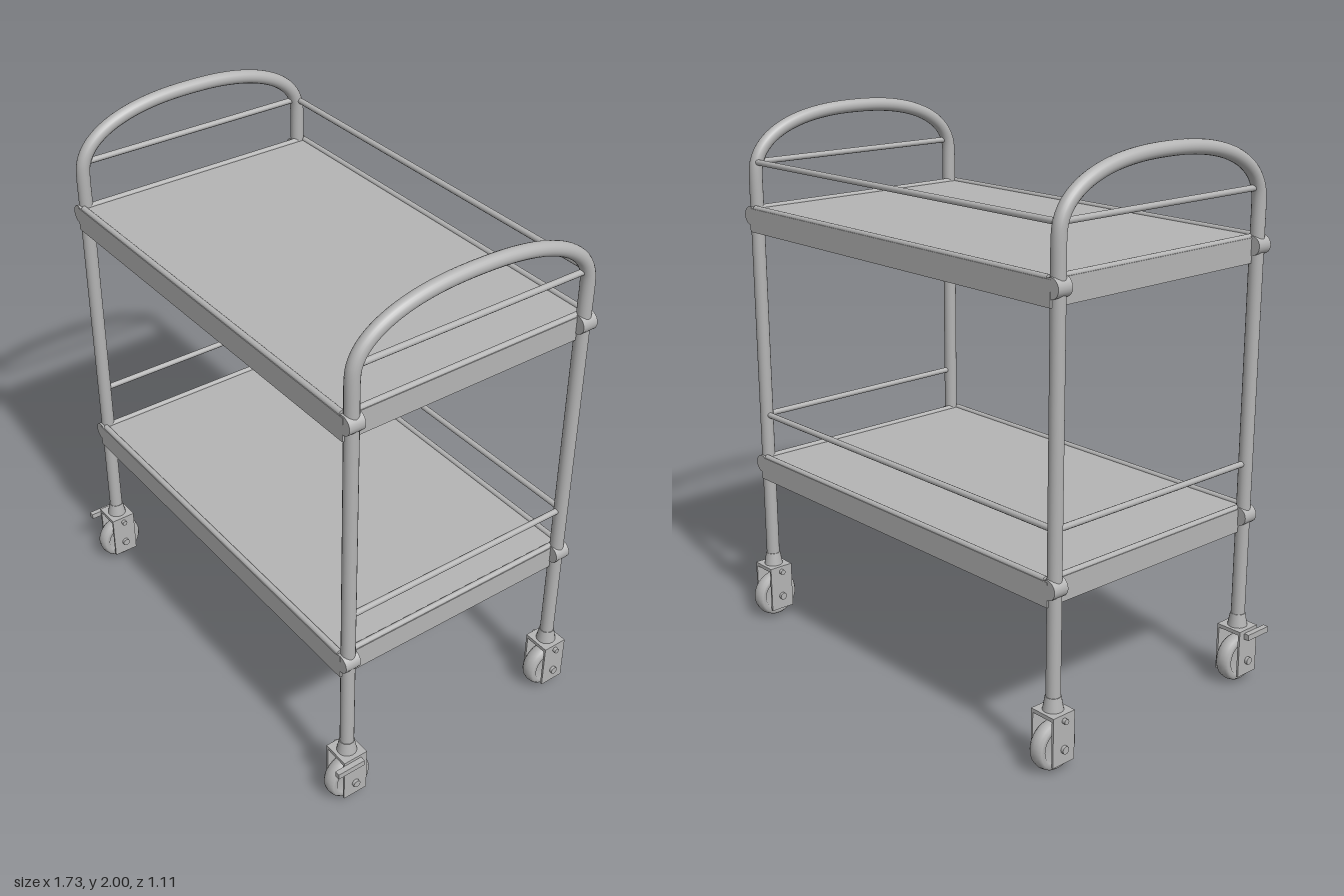
import * as THREE from 'three';

const metal = new THREE.MeshStandardMaterial({ color: 0xb4b4b4 });
metal.name = 'grey metal';

const PX = 0.795, PZ = 0.465; // leg positions

function add(parent, name, geo, x = 0, y = 0, z = 0) {
  const m = new THREE.Mesh(geo, metal);
  m.name = name;
  m.position.set(x, y, z);
  parent.add(m);
  return m;
}
const box = (p, name, w, h, d, x, y, z) => add(p, name, new THREE.BoxGeometry(w, h, d), x, y, z);

// round bar along one axis
function bar(p, name, axis, r, len, x, y, z, seg = 20) {
  const g = new THREE.CylinderGeometry(r, r, len, seg);
  if (axis === 'x') g.rotateZ(Math.PI / 2);
  if (axis === 'z') g.rotateX(Math.PI / 2);
  return add(p, name, g, x, y, z);
}

// two legs joined by a flattened arch handle, as one bent tube
function sideFrame(x) {
  const pts = [];
  for (const y of [0.24, 0.6, 1, 1.4, 1.65]) pts.push(new THREE.Vector3(0, y, PZ));
  const n = 24, e = 2 / 2.3;
  for (let i = 0; i <= n; i++) {
    const a = Math.PI * i / n, c = Math.cos(a), s = Math.max(0, Math.sin(a));
    pts.push(new THREE.Vector3(0, 1.755 + 0.22 * Math.pow(s, e), PZ * Math.sign(c) * Math.pow(Math.abs(c), e)));
  }
  for (const y of [1.65, 1.4, 1, 0.6, 0.24]) pts.push(new THREE.Vector3(0, y, -PZ));
  const path = new THREE.CatmullRomCurve3(pts, false, 'centripetal');
  const g = new THREE.Group();
  g.name = 'sideFrame';
  add(g, 'legsAndHandle', new THREE.TubeGeometry(path, 200, 0.025, 20));
  g.position.x = x;
  return g;
}

// tray with open underside, lip, corner clamps and guard rails; y is its bottom edge
function shelf(y) {
  const g = new THREE.Group();
  g.name = 'shelf';
  g.position.y = y;
  const hx = PX, hz = 0.498, t = 0.012, h = 0.087;
  box(g, 'trayPlate', 2 * hx - 0.01, 0.01, 2 * hz - 0.01, 0, 0.083, 0);
  for (const s of [-1, 1]) {
    box(g, 'longSkirt', 2 * hx, h, t, 0, h / 2, s * (hz - t / 2));
    box(g, 'endSkirt', t, h, 2 * (hz - t), s * (hx - t / 2), h / 2, 0);
    bar(g, 'longLip', 'x', 0.011, 2 * hx - 0.04, 0, 0.088, s * (hz - 0.013), 12);
    bar(g, 'endLip', 'z', 0.011, 2 * PZ, s * (hx - 0.013), 0.088, 0, 12);
    bar(g, 'endGuardRail', 'z', 0.011, 2 * PZ, s * PX, 0.255, 0, 12);
    for (const f of [-1, 1]) bar(g, 'cornerClamp', 'z', 0.034, 0.06, s * PX, 0.06, f * 0.467);
  }
  bar(g, 'backGuardRail', 'x', 0.011, 2 * PX, 0, 0.255, -PZ, 12);
  return g;
}

// wheel with rounded tread in a fork; the front pair has a brake lever
function caster(sx, sz) {
  const g = new THREE.Group();
  g.name = 'caster';
  g.position.set(sx * PX, 0, sz * PZ);
  const profile = [[0, -0.02], [0.055, -0.02], [0.06, -0.028], [0.076, -0.028], [0.084, -0.018], [0.0875, 0],
    [0.084, 0.018], [0.076, 0.028], [0.06, 0.028], [0.055, 0.02], [0, 0.02]].map(([a, b]) => new THREE.Vector2(a, b));
  const wheel = new THREE.LatheGeometry(profile, 32);
  wheel.rotateZ(Math.PI / 2);
  add(g, 'wheel', wheel, 0, 0.0875, 0);
  for (const s of [-1, 1]) box(g, 'forkPlate', 0.008, 0.17, 0.096, s * 0.048, 0.122, 0);
  box(g, 'forkTop', 0.104, 0.014, 0.096, 0, 0.208, 0);
  bar(g, 'axle', 'x', 0.014, 0.126, 0, 0.09, 0, 12);
  add(g, 'stem', new THREE.CylinderGeometry(0.027, 0.036, 0.05, 20), 0, 0.238, 0);
  bar(g, 'crossPin', 'x', 0.01, 0.13, 0, 0.193, 0, 12);
  if (sz > 0) box(g, 'brakeLever', 0.02, 0.022, 0.11, sx * 0.062, 0.192, 0.032);
  return g;
}

export function createModel() {
  const model = new THREE.Group();
  model.name = 'serviceTrolley';
  for (const y of [0.58, 1.55]) model.add(shelf(y));
  for (const sx of [-1, 1]) {
    model.add(sideFrame(sx * PX));
    for (const sz of [-1, 1]) model.add(caster(sx, sz));
  }
  return model;
}
